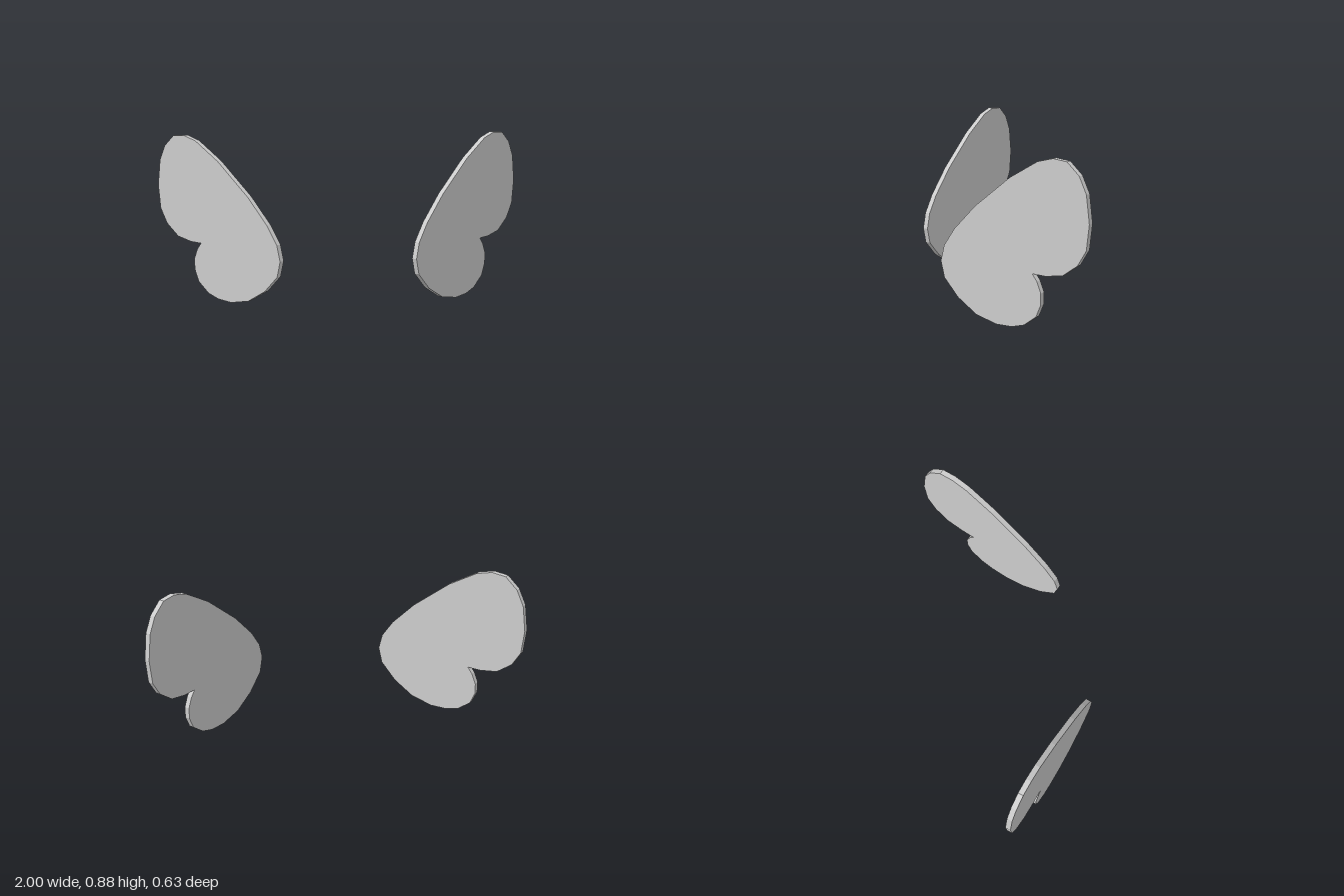
import * as THREE from 'three';

// Wing outline on its outer face: [depth z, height y]
const OUTLINE = [
  [-0.15, 0.88], [-0.09, 0.856], [0.02, 0.76], [0.165, 0.59], [0.255, 0.455], [0.30, 0.36],
  [0.315, 0.275], [0.30, 0.19], [0.24, 0.10], [0.16, 0.03], [0.075, 0.003], [0.01, 0.008],
  [-0.04, 0.03], [-0.089, 0.085], [-0.108, 0.15], [-0.108, 0.21], [-0.092, 0.265],
  [-0.073, 0.30], [-0.124, 0.30], [-0.192, 0.318], [-0.249, 0.38], [-0.282, 0.46],
  [-0.292, 0.59], [-0.279, 0.73], [-0.251, 0.813], [-0.204, 0.873],
];
const FRONT_X = 0.355, FRONT_Z = 0.315; // foremost corner of a wing
const ANGLE = 0.755;                    // how far the wing sweeps back
const THICKNESS = 0.029;

// One flat wing; side is 1 for left (+x), -1 for right
function makeWing(side, material) {
  const points = OUTLINE.map(([z, y]) =>
    new THREE.Vector2(side * (FRONT_Z - z) / Math.sin(ANGLE), y));
  const geometry = new THREE.ExtrudeGeometry(new THREE.Shape(points), {
    depth: THICKNESS, bevelEnabled: false,
  });
  geometry.translate(0, 0, -THICKNESS);
  const wing = new THREE.Mesh(geometry, material);
  wing.name = side > 0 ? 'leftWing' : 'rightWing';
  wing.rotation.y = side * ANGLE;
  wing.position.set(side * FRONT_X, 0, FRONT_Z);
  return wing;
}

export function createModel() {
  const model = new THREE.Group();
  model.name = 'wings';
  const material = new THREE.MeshStandardMaterial({ color: 0xcccccc });
  material.name = 'lightGrey';
  for (const side of [1, -1]) model.add(makeWing(side, material));
  return model;
}
